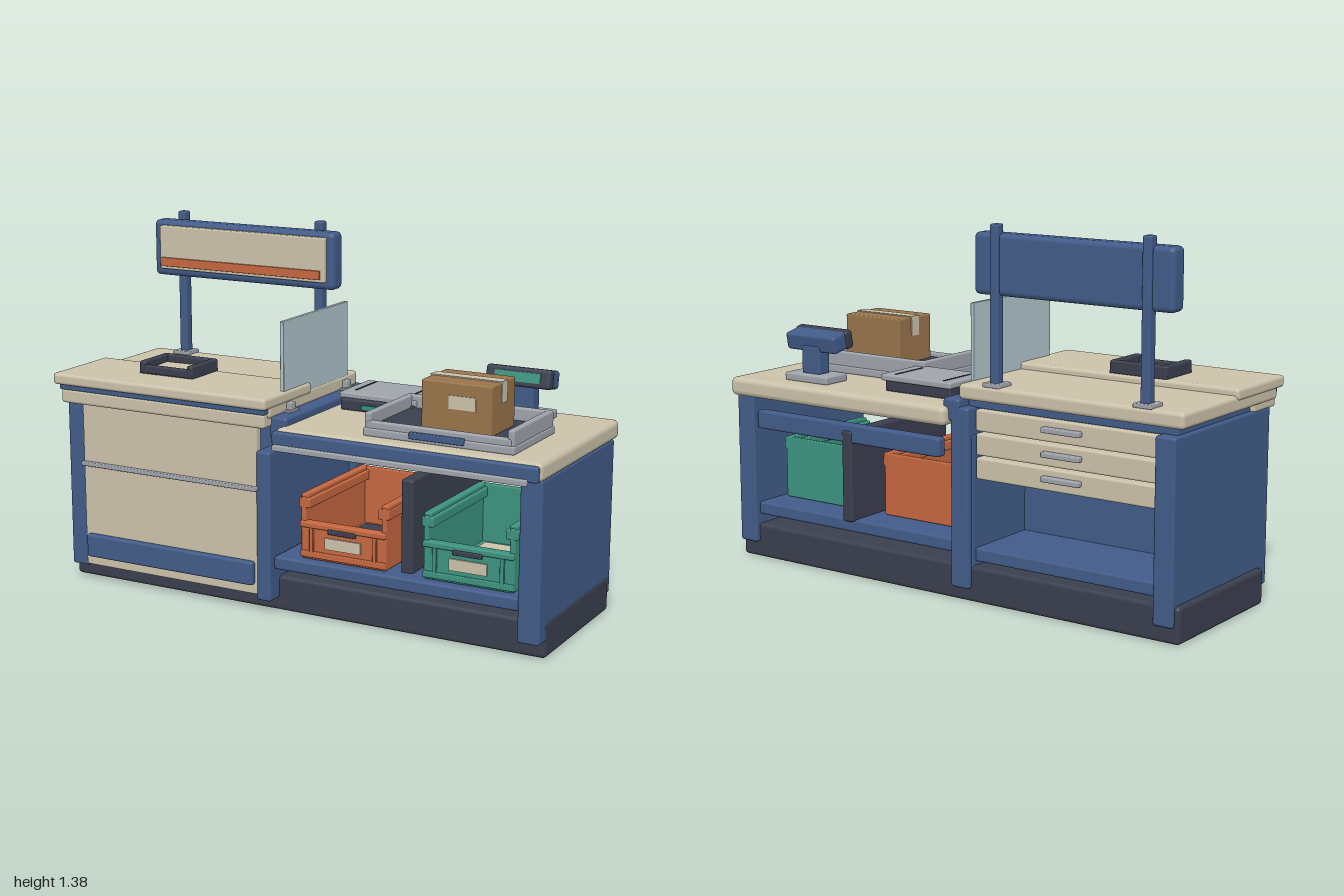
import * as THREE from 'three';
import { RoundedBoxGeometry } from 'three/addons/geometries/RoundedBoxGeometry.js';

const mat = (name, color) => {
  const m = new THREE.MeshStandardMaterial({ color });
  m.name = name;
  return m;
};

export function createModel() {
  const blue = mat('blue paint', 0x415b88);
  const cream = mat('cream laminate', 0xcbc2aa);
  const dark = mat('dark rubber', 0x3a3f4e);
  const steel = mat('brushed steel', 0x9fa4ab);
  const orange = mat('orange plastic', 0xc5673f);
  const green = mat('green plastic', 0x3c937f);
  const card = mat('cardboard', 0x98744b);
  const glass = mat('pale glass', 0xb0c5cb);

  const model = new THREE.Group();
  model.name = 'serviceCounter';

  // Bevelled box given by its limits on each axis
  const box = (parent, name, material, x0, x1, y0, y1, z0, z1, r = 0.008) => {
    const w = x1 - x0, h = y1 - y0, d = z1 - z0;
    const bevel = Math.min(r, w * 0.3, h * 0.3, d * 0.3);
    const geo = r > 0 ? new RoundedBoxGeometry(w, h, d, 2, bevel) : new THREE.BoxGeometry(w, h, d);
    const mesh = new THREE.Mesh(geo, material);
    mesh.name = name;
    mesh.position.set((x0 + x1) / 2, (y0 + y1) / 2, (z0 + z1) / 2);
    parent.add(mesh);
    return mesh;
  };
  const group = (name, parent = model) => {
    const g = new THREE.Group();
    g.name = name;
    parent.add(g);
    return g;
  };

  // Plinth under both counters
  box(model, 'plinth', dark, -0.995, 0.995, 0, 0.135, -0.33, 0.268, 0.015);

  // Tall counter: carcass
  const tall = group('tallCounter');
  box(tall, 'endPanel', blue, -0.975, -0.895, 0.06, 0.72, -0.345, 0.325, 0.01);
  box(tall, 'dividerPanel', blue, -0.13, -0.07, 0.05, 0.62, -0.33, 0.335, 0.01);
  box(tall, 'rearPost', blue, -0.125, -0.045, 0.05, 0.72, -0.35, -0.27, 0.01);
  box(tall, 'frontPanel', cream, -0.9, -0.125, 0.07, 0.72, 0.3, 0.335);
  box(tall, 'trimStrip', steel, -0.9, -0.12, 0.47, 0.486, 0.33, 0.354, 0.004);
  box(tall, 'kickPlate', blue, -0.88, -0.135, 0.11, 0.2, 0.33, 0.36, 0.01);
  box(tall, 'lowerShelf', blue, -0.9, -0.12, 0.15, 0.2, -0.31, 0.3, 0.008);
  box(tall, 'innerBack', blue, -0.9, -0.12, 0.19, 0.72, 0.0, 0.02, 0);

  // Tall counter: worktop and raised front ledge
  box(tall, 'worktop', cream, -0.995, -0.065, 0.745, 0.803, -0.328, 0.34, 0.015);
  box(tall, 'worktopApron', cream, -0.975, -0.075, 0.712, 0.768, 0.2, 0.365, 0.012);
  box(tall, 'subframe', blue, -0.96, -0.09, 0.715, 0.75, -0.3, 0.25, 0.006);
  box(tall, 'ledgeBand', blue, -0.98, -0.072, 0.764, 0.788, 0.06, 0.368, 0.006);
  box(tall, 'ledge', cream, -1, -0.06, 0.784, 0.828, 0.04, 0.383, 0.015);

  // Drawers opening to the rear
  for (let i = 0; i < 3; i++) {
    const y = 0.635 - i * 0.088;
    box(tall, 'drawer', cream, -0.89, -0.135, y, y + 0.08, -0.318, -0.01, 0.008);
    box(tall, 'drawerHandle', steel, -0.59, -0.43, y + 0.035, y + 0.055, -0.342, -0.315, 0.005);
  }

  // Overhead sign on two posts
  const sign = group('overheadSign');
  for (const x of [-0.832, -0.208]) {
    box(sign, 'signPost', blue, x - 0.018, x + 0.018, 0.8, 1.38, -0.31, -0.27, 0.007);
    box(sign, 'postFoot', steel, x - 0.038, x + 0.038, 0.8, 0.816, -0.325, -0.25, 0.004);
  }
  box(sign, 'signBody', blue, -0.932, -0.112, 1.125, 1.347, -0.298, -0.222, 0.02);
  box(sign, 'signFace', cream, -0.893, -0.143, 1.155, 1.328, -0.23, -0.202, 0.006);
  box(sign, 'signStripe', orange, -0.882, -0.16, 1.167, 1.202, -0.204, -0.195, 0.002);

  // Paper tray on the ledge
  const paper = group('paperTray');
  box(paper, 'trayBase', dark, -0.708, -0.468, 0.828, 0.84, 0.045, 0.225, 0.004);
  box(paper, 'traySide', dark, -0.708, -0.68, 0.83, 0.876, 0.045, 0.225);
  box(paper, 'traySide', dark, -0.496, -0.468, 0.83, 0.876, 0.045, 0.225);
  box(paper, 'trayBack', dark, -0.7, -0.476, 0.83, 0.876, 0.045, 0.07);
  box(paper, 'trayFront', dark, -0.7, -0.476, 0.83, 0.862, 0.203, 0.227);
  const sheet = box(paper, 'paperSheet', cream, -0.673, -0.503, 0.842, 0.85, 0.08, 0.197, 0);
  sheet.rotation.y = 0.05;

  // Joint between the counters, with the glass screen
  box(model, 'jointRail', blue, -0.085, -0.012, 0.665, 0.75, -0.35, 0.31, 0.012);
  const screen = group('glassScreen');
  box(screen, 'glassPane', glass, -0.084, -0.068, 0.75, 1.086, -0.255, 0.232, 0.003);
  for (const z of [-0.225, 0.2]) {
    box(screen, 'glassClamp', steel, -0.1, -0.045, 0.748, 0.785, z - 0.018, z + 0.018, 0.005);
    box(screen, 'clampPlate', steel, -0.08, -0.04, 0.748, 0.758, z - 0.032, z + 0.032, 0.003);
  }

  // Low counter: worktop and open frame
  const low = group('lowCounter');
  box(low, 'worktop', cream, -0.04, 0.998, 0.648, 0.72, -0.383, 0.352, 0.024);
  box(low, 'frontEdge', blue, -0.045, 0.99, 0.652, 0.71, 0.335, 0.366, 0.01);
  box(low, 'edgeRail', steel, -0.035, 0.955, 0.642, 0.664, 0.358, 0.382, 0.005);
  box(low, 'endPanel', blue, 0.908, 0.992, 0.062, 0.652, -0.35, 0.32, 0.01);
  box(low, 'shelf', blue, -0.07, 0.97, 0.172, 0.222, -0.325, 0.31, 0.01);
  box(low, 'rearRail', blue, 0.015, 0.9, 0.52, 0.592, -0.34, -0.295, 0.01);
  box(low, 'shelfDivider', dark, 0.422, 0.47, 0.215, 0.568, -0.345, 0.25, 0.01);

  // Open-fronted storage bins
  const makeBin = (name, m, x, itemMat) => {
    const bin = group(name, low);
    bin.position.x = x;
    const zb = -0.2, zf = 0.28;
    box(bin, 'binFloor', m, -0.172, 0.172, 0.224, 0.242, zb, zf, 0.005);
    box(bin, 'binBack', m, -0.172, 0.172, 0.226, 0.465, zb, zb + 0.02, 0.005);
    box(bin, 'binFront', m, -0.172, 0.172, 0.226, 0.365, zf - 0.02, zf, 0.005);
    box(bin, 'frontLip', m, -0.175, 0.175, 0.345, 0.368, zf - 0.026, zf + 0.012, 0.006);
    box(bin, 'frontBase', m, -0.175, 0.175, 0.232, 0.256, zf - 0.01, zf + 0.008, 0.004);
    for (const s of [-1, 1]) {
      const side = (n, a, b, ...rest) => box(bin, n, m, Math.min(s * a, s * b), Math.max(s * a, s * b), ...rest);
      side('binSide', 0.155, 0.175, 0.226, 0.455, zb, zf, 0.005);
      side('sideRim', 0.138, 0.184, 0.415, 0.452, zb, zf, 0.006);
      side('rimTop', 0.15, 0.18, 0.445, 0.466, zb, zf - 0.01, 0.005);
      side('frontRib', 0.122, 0.138, 0.25, 0.35, zf - 0.005, zf + 0.008, 0.003);
    }
    box(bin, 'gripSlot', dark, -0.057, 0.057, 0.333, 0.352, zf + 0.004, zf + 0.018, 0.005);
    box(bin, 'binLabel', cream, -0.073, 0.073, 0.272, 0.315, zf, zf + 0.006, 0);
    box(bin, 'binContents', itemMat, -0.1, 0.1, 0.242, 0.275, -0.08, 0.18, 0.006);
  };
  makeBin('orangeBin', orange, 0.205, dark);
  makeBin('greenBin', green, 0.703, cream);

  // Weighing scale
  const scale = group('scale');
  box(scale, 'scaleBody', dark, 0.025, 0.33, 0.718, 0.765, -0.255, -0.022, 0.01);
  box(scale, 'scalePlate', steel, 0.015, 0.34, 0.76, 0.785, -0.268, -0.035, 0.008);
  for (const x of [0.06, 0.285])
    box(scale, 'plateGroove', dark, x - 0.004, x + 0.004, 0.784, 0.787, -0.245, -0.085, 0);
  box(scale, 'scaleDisplay', green, 0.12, 0.225, 0.728, 0.746, -0.023, -0.016, 0);

  // Shallow parcel tray
  const tray = group('parcelTray');
  box(tray, 'trayBase', steel, 0.288, 0.872, 0.718, 0.75, -0.068, 0.292, 0.008);
  box(tray, 'trayMat', dark, 0.31, 0.85, 0.745, 0.758, -0.045, 0.268, 0);
  for (const x of [0.292, 0.842])
    box(tray, 'traySide', steel, x, x + 0.026, 0.74, 0.805, -0.064, 0.285);
  box(tray, 'trayBack', steel, 0.3, 0.86, 0.74, 0.805, -0.064, -0.038);
  box(tray, 'trayFront', steel, 0.3, 0.86, 0.74, 0.775, 0.262, 0.287);
  box(tray, 'trayTag', blue, 0.475, 0.685, 0.732, 0.756, 0.285, 0.303, 0.004);

  // Taped parcel
  const parcel = group('parcel');
  box(parcel, 'parcelBox', card, 0.492, 0.762, 0.757, 0.936, 0.04, 0.238, 0.006);
  box(parcel, 'topTape', cream, 0.489, 0.765, 0.934, 0.94, 0.113, 0.16, 0);
  for (const x of [0.489, 0.761])
    box(parcel, 'endTape', cream, x, x + 0.004, 0.862, 0.938, 0.113, 0.16, 0);
  box(parcel, 'parcelLabel', cream, 0.598, 0.702, 0.842, 0.89, 0.237, 0.241, 0);

  // Scanner on its stand
  const scanner = group('scanner');
  box(scanner, 'scannerBase', steel, 0.575, 0.785, 0.718, 0.75, -0.302, -0.178, 0.008);
  box(scanner, 'scannerStem', blue, 0.635, 0.725, 0.745, 0.86, -0.272, -0.21, 0.01);
  const head = group('scannerHead', scanner);
  head.position.set(0.68, 0.876, -0.218);
  head.rotation.x = -0.2;
  box(head, 'headShell', blue, -0.122, 0.122, -0.034, 0.034, -0.055, 0.035, 0.012);
  box(head, 'headBezel', dark, -0.128, 0.128, -0.036, 0.036, 0.01, 0.052, 0.012);
  box(head, 'headDisplay', green, -0.09, 0.09, -0.018, 0.018, 0.05, 0.056, 0);

  return model;
}
